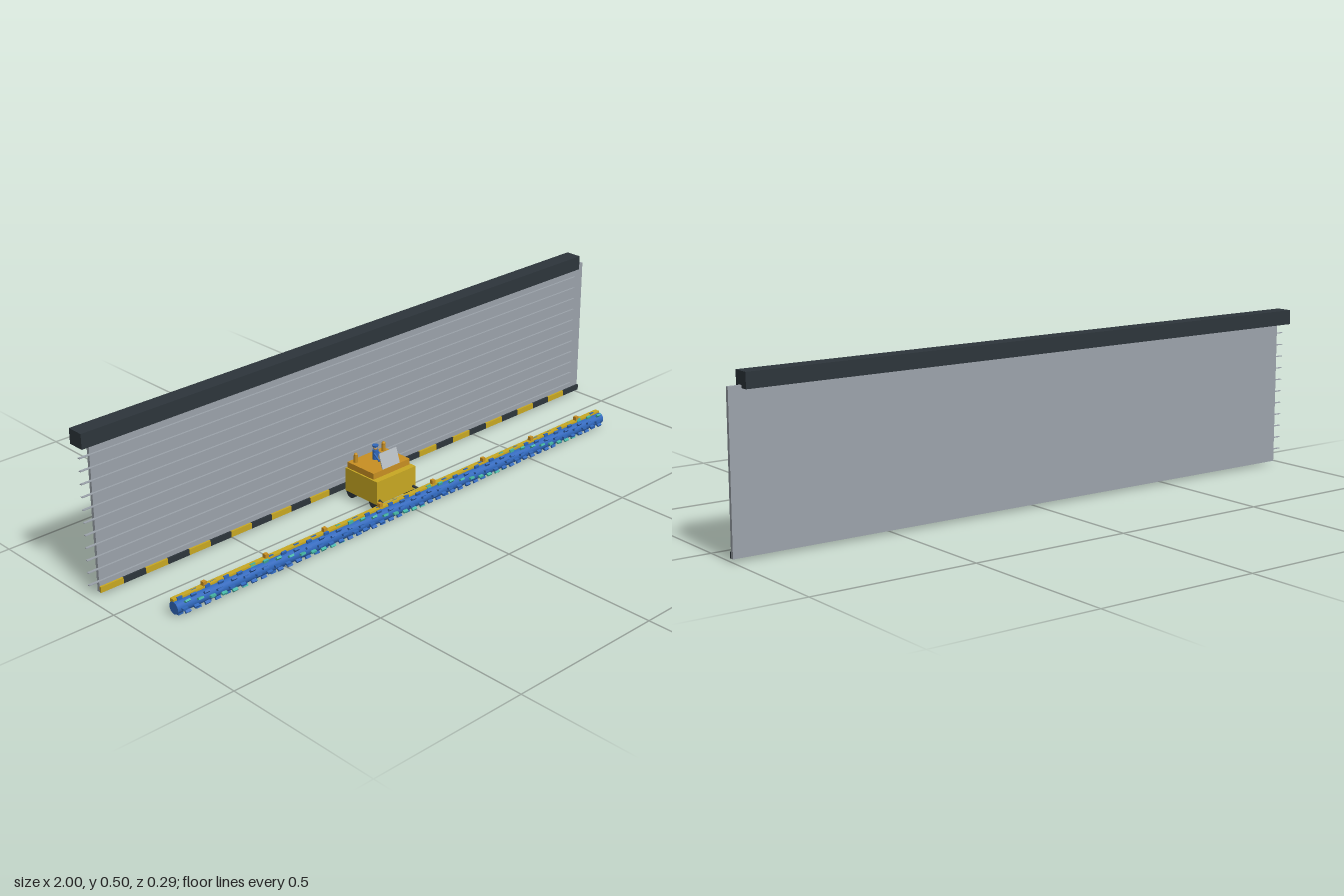
import * as THREE from 'three';
import { mergeGeometries } from 'three/addons/utils/BufferGeometryUtils.js';

const mat = (name, color) => {
  const m = new THREE.MeshStandardMaterial({ color });
  m.name = name;
  return m;
};

export function createModel() {
  const root = new THREE.Group();
  root.name = 'doorAndSweeper';
  const grey = mat('panel grey', 0x9ca3ab);
  const dark = mat('dark steel', 0x2d353b);
  const yellow = mat('safety yellow', 0xc9a922);
  const orange = mat('orange', 0xc99022);
  const blue = mat('blue', 0x3068bc);
  const teal = mat('teal bristle', 0x45b5a5);
  const glass = mat('windscreen grey', 0xb4bac0);
  const skin = mat('skin', 0xc2a070);

  const add = (parent, name, geo, material) => {
    const m = new THREE.Mesh(geo, material);
    m.name = name;
    parent.add(m);
    return m;
  };
  // Box given by its minimum and maximum on each axis
  const boxGeo = (x0, x1, y0, y1, z0, z1) =>
    new THREE.BoxGeometry(x1 - x0, y1 - y0, z1 - z0)
      .translate((x0 + x1) / 2, (y0 + y1) / 2, (z0 + z1) / 2);
  const box = (p, name, material, ...b) => add(p, name, boxGeo(...b), material);
  // Rod between two points
  const rod = (p, name, material, a, b, r) => {
    const from = new THREE.Vector3(...a), to = new THREE.Vector3(...b);
    const dir = to.clone().sub(from);
    const m = add(p, name, new THREE.CylinderGeometry(r, r, dir.length(), 10), material);
    m.position.copy(from).add(to).multiplyScalar(0.5);
    m.quaternion.setFromUnitVectors(new THREE.Vector3(0, 1, 0), dir.normalize());
    return m;
  };
  const group = (name) => {
    const g = new THREE.Group();
    g.name = name;
    root.add(g);
    return g;
  };

  // Sliding wall: header, panel, ribs and hazard strip
  const door = group('slidingDoor');
  box(door, 'header', dark, -1, 0.96, 0.455, 0.5, -0.142, -0.09);
  box(door, 'panel', grey, -0.965, 1, 0.01, 0.463, -0.12, -0.11);
  for (let i = 0; i < 11; i++) {
    const y = 0.046 + i * 0.0378;
    box(door, 'rib', grey, -1, 0.96, y - 0.001, y + 0.001, -0.112, -0.104);
  }
  const seg = 1.965 / 26;
  for (let i = 0; i < 26; i++) {
    const x = -0.965 + i * seg;
    box(door, 'hazardBlock', i % 2 ? dark : yellow, x, x + seg, 0.01, 0.028, -0.11, -0.104);
  }

  // Tractor
  const cx = -0.021;
  const tractor = group('tractor');
  box(tractor, 'body', yellow, cx - 0.079, cx + 0.079, 0.028, 0.103, -0.07, 0.066);
  box(tractor, 'deck', orange, cx - 0.074, cx + 0.074, 0.103, 0.122, -0.066, 0.046);
  for (const s of [-1, 1]) {
    for (const z of [0.047, -0.051]) {
      const wheel = add(tractor, 'wheel', new THREE.CylinderGeometry(0.019, 0.019, 0.022, 20), dark);
      wheel.rotation.z = Math.PI / 2;
      wheel.position.set(cx + s * 0.065, 0.028, z);
    }
    const beacon = add(tractor, 'beacon', new THREE.CylinderGeometry(0.0065, 0.0065, 0.022, 12), orange);
    beacon.position.set(cx + s * 0.057, 0.133, -0.048);
    const dome = add(tractor, 'beaconDome', new THREE.SphereGeometry(0.006, 12, 8), orange);
    dome.position.set(cx + s * 0.057, 0.146, -0.048);
    rod(tractor, 'pushArm', dark, [cx + s * 0.068, 0.041, 0.06], [cx + s * 0.078, 0.031, 0.112], 0.004);
  }
  const screen = add(tractor, 'windscreen', new THREE.BoxGeometry(0.07, 0.05, 0.003), glass);
  screen.position.set(cx, 0.144, 0.0355);
  screen.rotation.x = -0.33;

  // Operator
  const driver = group('operator');
  driver.position.set(cx, 0, -0.024);
  add(driver, 'torso', new THREE.CylinderGeometry(0.009, 0.009, 0.031, 14), blue).position.y = 0.1375;
  add(driver, 'head', new THREE.SphereGeometry(0.0075, 14, 10), skin).position.y = 0.158;
  add(driver, 'cap', new THREE.CylinderGeometry(0.0095, 0.0085, 0.006, 14), blue).position.y = 0.165;
  for (const s of [-1, 1])
    rod(driver, 'arm', blue, [s * 0.008, 0.143, 0.004], [s * 0.014, 0.13, 0.032], 0.003);

  // Long roller brush with staggered tufts
  const roller = group('rollerBrush');
  roller.position.set(-0.0225, 0.0275, 0.118);
  const core = add(roller, 'core', new THREE.CylinderGeometry(0.0185, 0.0185, 1.735, 24), blue);
  core.rotation.z = Math.PI / 2;
  const tufts = [[], []];
  for (let i = 0; i < 43; i++)
    for (let k = 0; k < 8; k++) {
      const tuft = new THREE.BoxGeometry(0.017, 0.0105, 0.006)
        .translate(0, 0.0215, 0)
        .rotateX((k / 8) * Math.PI * 2 + i * 0.37)
        .translate(-0.84 + i * 0.04 + (k % 2) * 0.014 - 0.007, 0, 0);
      tufts[k % 4 === 1 ? 1 : 0].push(tuft);
    }
  add(roller, 'blueTufts', mergeGeometries(tufts[0]), blue);
  add(roller, 'tealTufts', mergeGeometries(tufts[1]), teal);

  // Cover bar over the roller with marker posts
  const cover = group('rollerCover');
  box(cover, 'coverBar', yellow, -0.889, 0.844, 0.041, 0.052, 0.102, 0.118);
  for (let i = 0; i < 8; i++) {
    const x = -0.782 + i * 0.217;
    box(cover, 'markerPost', orange, x - 0.006, x + 0.006, 0.052, 0.064, 0.105, 0.117);
  }
  return root;
}
